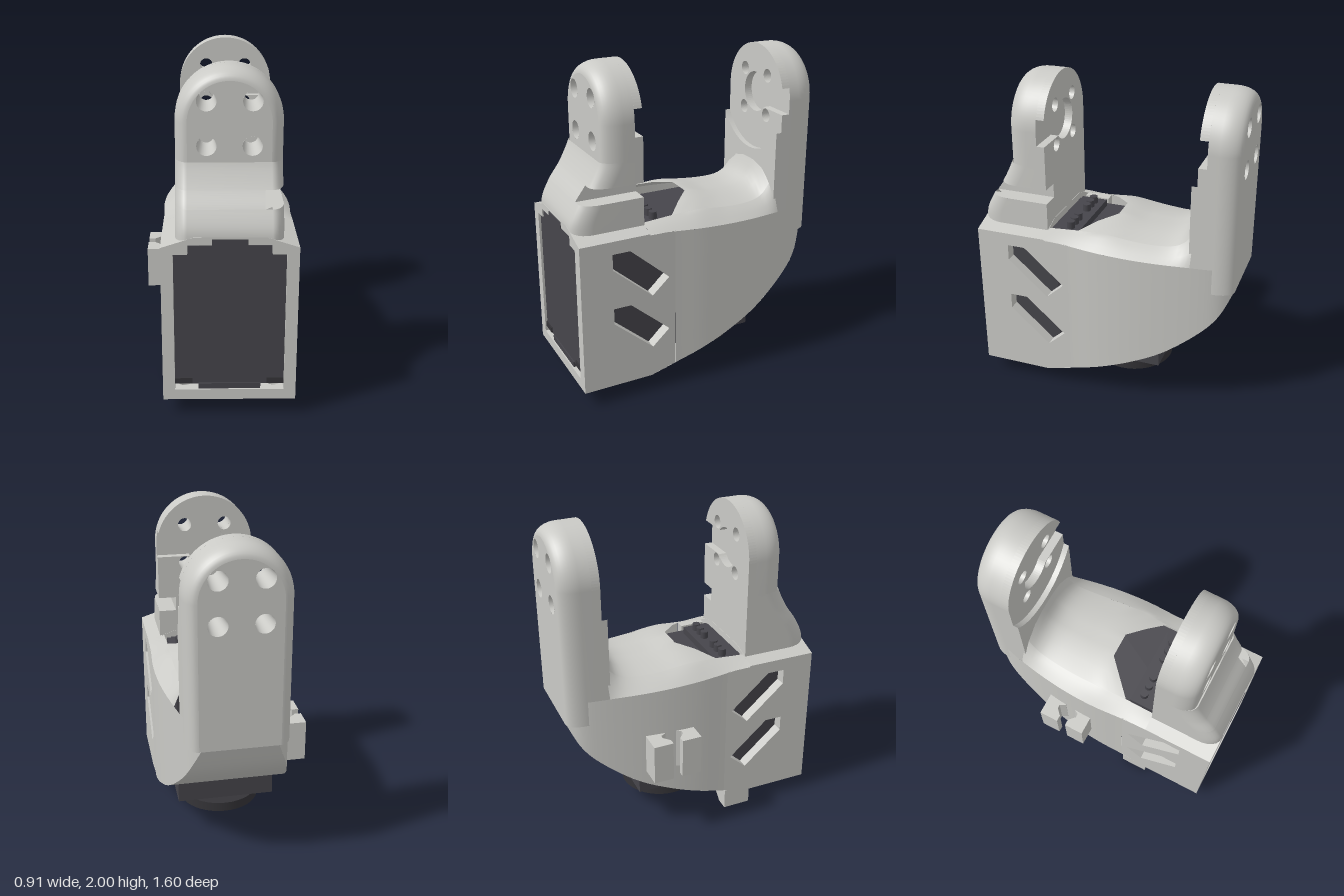
import * as THREE from 'three';

const shellMat = new THREE.MeshStandardMaterial({ color: 0xcacac6, side: THREE.DoubleSide });
shellMat.name = 'light grey plastic';
const servoMat = new THREE.MeshStandardMaterial({ color: 0x46454b });
servoMat.name = 'charcoal';
const hornMat = new THREE.MeshStandardMaterial({ color: 0x353438 });
hornMat.name = 'dark charcoal';

const V = (x, y) => new THREE.Vector2(x, y);
const poly = pts => new THREE.Shape(pts.map(p => V(p[0], p[1])));
const extrude = (shape, depth) => new THREE.ExtrudeGeometry(shape, { depth, bevelEnabled: false, curveSegments: 24 });

// smooth function through (a, value) pairs, a monotonic
function curve(pairs) {
  const p = new THREE.SplineCurve(pairs.map(q => V(q[0], q[1]))).getPoints(100);
  if (p[0].x > p[100].x) p.reverse();
  return a => {
    if (a <= p[0].x) return p[0].y;
    for (let i = 1; i <= 100; i++) {
      if (a <= p[i].x) return THREE.MathUtils.mapLinear(a, p[i - 1].x, p[i].x, p[i - 1].y, p[i].y);
    }
    return p[100].y;
  };
}

// surface grid from f(i, j) -> [x, y, z]
function skin(nu, nv, f) {
  const pos = [], idx = [], n = nv + 1;
  for (let i = 0; i <= nu; i++) for (let j = 0; j <= nv; j++) pos.push(...f(i, j));
  for (let i = 0; i < nu; i++) for (let j = 0; j < nv; j++) {
    const a = i * n + j;
    idx.push(a, a + n, a + 1, a + 1, a + n, a + n + 1);
  }
  const g = new THREE.BufferGeometry();
  g.setAttribute('position', new THREE.Float32BufferAttribute(pos, 3));
  g.setIndex(idx);
  g.computeVertexNormals();
  return g;
}

function add(parent, name, geo, mat, x = 0, y = 0, z = 0) {
  const m = new THREE.Mesh(geo, mat);
  m.name = name;
  m.position.set(x, y, z);
  parent.add(m);
  return m;
}
const box = (parent, name, mat, x0, x1, y0, y1, z0, z1) =>
  add(parent, name, new THREE.BoxGeometry(x1 - x0, y1 - y0, z1 - z0), mat, (x0 + x1) / 2, (y0 + y1) / 2, (z0 + z1) / 2);

// shared arm dimensions: half width, round centre, thickness, edge rounding
const H = 0.305, CY = 1.695, T = 0.236, RX = 0.07, RZ = 0.12, LAYER = 0.05;
const HOLES = [[-1, -1], [1, -1], [-1, 1], [1, 1]].map(([a, b]) => [a * 0.1275, CY + b * 0.125]);

function outline(d, y0) {
  const r = H - d, pts = [V(r, y0)];
  for (let k = 0; k <= 32; k++) pts.push(V(r * Math.cos(k * Math.PI / 32), CY + r * Math.sin(k * Math.PI / 32)));
  pts.push(V(-r, y0));
  return pts;
}
function drill(shape, r) {
  for (const [x, y] of HOLES) shape.holes.push(new THREE.Path().absarc(x, y, r, 0, Math.PI * 2, true));
  return shape;
}

// arm with inner face at z = 0 and rounded outer face at z = T
function makeArm(name, innerY, outerY, notch) {
  const g = new THREE.Group();
  g.name = name;
  // inner layer with a keyhole recess opening to +x
  const s = new THREE.Shape();
  s.moveTo(-H, innerY).lineTo(H, innerY);
  if (notch) s.lineTo(H, 1.25).lineTo(0.195, 1.25).lineTo(0.195, 1.34).lineTo(H, 1.34);
  const a = Math.asin(0.08 / 0.125), b = Math.asin(0.08 / H);
  s.lineTo(H, CY - 0.08);
  s.absarc(0, CY, 0.125, -a, a, true);
  s.absarc(0, CY, H, b, Math.PI, false);
  s.lineTo(-H, innerY);
  add(g, 'innerFace', extrude(drill(s, 0.042), LAYER), shellMat);
  add(g, 'recessFloor', new THREE.ShapeGeometry(drill(new THREE.Shape(outline(0, outerY)), 0.043), 24), shellMat, 0, 0, LAYER);
  // rounded rim and outer face
  const rings = [[0, LAYER]];
  for (let k = 0; k <= 8; k++) {
    const t = k * Math.PI / 16;
    rings.push([RX * (1 - Math.cos(t)), T - RZ * (1 - Math.sin(t))]);
  }
  const lines = rings.map(r => outline(r[0], outerY));
  add(g, 'roundedRim', skin(lines[0].length - 1, rings.length - 1, (i, j) => [lines[j][i].x, lines[j][i].y, rings[j][1]]), shellMat);
  add(g, 'outerFace', new THREE.ShapeGeometry(drill(new THREE.Shape(outline(RX, outerY)), 0.056), 24), shellMat, 0, 0, T);
  for (const [x, y] of HOLES) {
    const c = new THREE.CylinderGeometry(0.056, 0.042, T - LAYER, 24, 1, true).rotateX(Math.PI / 2);
    add(g, 'screwHole', c, shellMat, x, y, (T + LAYER) / 2);
  }
  return g;
}

// body rules along z
const halfWidth = curve([[0.36, 0.385], [0.2, 0.387], [0, 0.397], [-0.2, 0.39], [-0.4, 0.365], [-0.6, 0.325], [-0.72, 0.285], [-0.8, 0.22]]);
const bottomY = curve([[0.36, 0.1], [0.2, 0.145], [0, 0.21], [-0.2, 0.29], [-0.4, 0.39], [-0.6, 0.54], [-0.72, 0.67], [-0.8, 0.84]]);
const edgeY = curve([[0.36, 1.05], [0.1, 1.03], [-0.3, 1.01], [-0.55, 1.0], [-0.8, 0.98]]);
const crestY = curve([[0.36, 1.1], [0.1, 1.14], [-0.02, 1.15], [-0.2, 1.12], [-0.38, 1.12], [-0.48, 1.17], [-0.545, 1.3]]);

function makeBody() {
  const g = new THREE.Group();
  g.name = 'housing';
  // flat side walls with two slanted slots each
  for (const x of [0.385, -0.315]) {
    const s = poly([[0.8, 0.1], [0.8, 1.05], [0.2, 1.04], [0.2, 0.145], [0.36, 0.1]]);
    for (const d of [0, -0.35]) {
      s.holes.push(poly([[0.6, 0.97 + d], [0.49, 0.97 + d], [0.24, 0.75 + d], [0.35, 0.65 + d], [0.6, 0.87 + d]]));
    }
    add(g, 'sideWall', extrude(s, 0.07).rotateY(-Math.PI / 2), shellMat, x);
  }
  // roof and floor of the front opening
  const half = [[0.235, 1.065], [0.235, 1.01], [0.385, 1.01], [0.385, 1.05], [0.2, 1.11]];
  const roof = poly([...half, ...half.map(p => [-p[0], p[1]]).reverse()]);
  add(g, 'roof', extrude(roof, 0.44), shellMat, 0, 0, 0.36);
  const floor = poly([[-0.385, -0.8], [0.385, -0.8], [0.385, -0.36], [-0.385, -0.36]]);
  for (const x of [-0.26, 0.26]) floor.holes.push(new THREE.Path().absarc(x, -0.71, 0.042, 0, Math.PI * 2, true));
  add(g, 'floor', extrude(floor, 0.065).rotateX(-Math.PI / 2), shellMat, 0, 0.1);
  // tapering sides
  for (const m of [-1, 1]) {
    add(g, 'taperedSide', skin(40, 8, (i, j) => {
      const z = 0.2 - Math.sin(i / 40 * Math.PI / 2);
      return [m * halfWidth(z), THREE.MathUtils.lerp(bottomY(z), edgeY(z), j / 8), z];
    }), shellMat);
  }
  // arched top with the connector cut-out
  const us = [-1, -0.9, -0.8, -0.725, -0.72, -0.46, -0.2, -0.1, 0, 0.1, 0.2, 0.46, 0.72, 0.725, 0.8, 0.9, 1];
  add(g, 'archedTop', skin(us.length - 1, 30, (i, j) => {
    const s = us[i], a = Math.abs(s);
    const front = a > 0.722 ? 0.36 : THREE.MathUtils.mapLinear(Math.max(a, 0.2), 0.2, 0.72, -0.02, 0.17);
    const z = THREE.MathUtils.lerp(front, -0.545, j / 30);
    return [s * halfWidth(z), edgeY(z) + (crestY(z) - edgeY(z)) * (1 - a ** 3), z];
  }), shellMat);
  // curved underside, open around the servo horn
  const bs = [-1, -0.9, -0.81];
  for (let k = -10; k <= 10; k++) bs.push(0.8 * Math.sin(k * Math.PI / 20));
  bs.push(0.81, 0.9, 1);
  add(g, 'undersideFront', skin(bs.length - 1, 16, (i, j) => {
    const x = bs[i] * 0.385;
    const rim = Math.abs(bs[i]) > 0.805 ? -0.4 : -0.1 + Math.sqrt(Math.max(0, 0.308 ** 2 - x * x));
    const z = THREE.MathUtils.lerp(0.36, rim, j / 16);
    return [bs[i] * halfWidth(z), bottomY(z), z];
  }), shellMat);
  add(g, 'undersideBack', skin(12, 24, (i, j) => {
    const z = -0.4 - 0.4 * Math.sin(j / 24 * Math.PI / 2);
    return [(i / 6 - 1) * halfWidth(z), bottomY(z), z];
  }), shellMat);
  // cable clip: two mirrored hooks
  for (const m of [-1, 1]) {
    const hook = [[-0.37, 0.155], [-0.515, 0.155], [-0.515, 0.03], [-0.475, 0.03], [-0.435, 0.068], [-0.41, 0.068], [-0.39, 0.03], [-0.37, 0.03]];
    add(g, 'cableClip', extrude(poly(hook.map(p => [p[0], p[1] * m])), 0.26).rotateX(-Math.PI / 2), shellMat, 0, 0.45, -0.185);
  }
  // stop tab under the floor
  add(g, 'stopTab', extrude(poly([[-0.385, 0], [-0.305, 0], [-0.2, 0.1], [-0.2, 0.14], [-0.385, 0.14]]), 0.18), shellMat, 0, 0, 0.21);
  return g;
}

// flared foot of the front arm, with a side notch
function makeFoot() {
  const g = new THREE.Group();
  g.name = 'flaredFoot';
  const faceZ = curve([[1.08, 0.8], [1.15, 0.79], [1.25, 0.74], [1.35, 0.67], [1.47, 0.61], [1.54, 0.598]]);
  const sec = [[-H, null]];
  for (let k = 0; k <= 6; k++) sec.push([-H + RX * (1 - Math.cos(k * Math.PI / 12)), 1 - Math.sin(k * Math.PI / 12)]);
  sec.push(...sec.map(p => [-p[0], p[1]]).reverse());
  for (const [y0, y1, limit] of [[1.07, 1.25, H], [1.25, 1.34, 0.195], [1.34, 1.48, H]]) {
    add(g, 'footSkin', skin(sec.length - 1, 8, (i, j) => {
      const y = y0 + (y1 - y0) * j / 8, [x, k] = sec[i];
      return [Math.min(x, limit), y, k === null ? 0.362 : faceZ(y) - RZ * (x > limit ? 0 : k)];
    }), shellMat);
  }
  for (const y of [1.25, 1.34]) {
    add(g, 'notchWall', skin(7, 1, (i, j) => {
      const x = i === 0 ? 0.195 : sec[sec.length - 1 - i][0];
      const k = i === 0 ? 0 : sec[sec.length - 1 - i][1];
      return [x, y, j ? faceZ(y) - RZ * k : 0.362];
    }), shellMat);
  }
  return g;
}

function makeServo() {
  const g = new THREE.Group();
  g.name = 'servo';
  box(g, 'servoCase', servoMat, -0.3, 0.3, 0.24, 1.015, -0.36, 0.7);
  box(g, 'servoCover', servoMat, -0.317, 0.317, 0.195, 1.012, 0.3, 0.785);
  box(g, 'coverTopTab', servoMat, -0.232, 0.232, 1.0, 1.06, 0.36, 0.792);
  box(g, 'coverBottomTab', servoMat, -0.18, 0.18, 0.166, 0.2, 0.5, 0.792);
  box(g, 'cableLatch', servoMat, -0.1, 0.1, 1.06, 1.1, 0.78, 0.804);
  for (const m of [-1, 1]) box(g, 'coverFoot', hornMat, m * 0.265 - 0.05, m * 0.265 + 0.05, 0.2, 0.235, 0.75, 0.793);
  // connector block and pins in the top cut-out
  box(g, 'connector', servoMat, -0.26, 0.26, 1.0, 1.06, 0.19, 0.38);
  for (const m of [-1, 1]) for (const x of [0.07, 0.132, 0.194]) {
    add(g, 'connectorPin', new THREE.CylinderGeometry(0.025, 0.025, 0.05, 16), servoMat, m * x, 1.08, 0.255);
  }
  // output horn
  const disc = (name, r, y0, y1, mat, x = 0, z = 0) =>
    add(g, name, new THREE.CylinderGeometry(r, r, y1 - y0, 40), mat, x, (y0 + y1) / 2, -0.1 + z);
  disc('outputBoss', 0.16, 0.185, 0.25, hornMat);
  disc('horn', 0.255, 0.13, 0.19, hornMat);
  disc('hornHub', 0.065, 0.09, 0.14, hornMat);
  disc('hubScrew', 0.035, 0.087, 0.1, servoMat);
  for (const [x, z] of [[1, 0], [-1, 0], [0, 1], [0, -1]]) disc('hornHole', 0.025, 0.127, 0.135, servoMat, x * 0.16, z * 0.16);
  return g;
}

export function createModel() {
  const model = new THREE.Group();
  model.name = 'servoBracket';
  const body = new THREE.Group();
  body.name = 'bracket';
  body.position.x = 0.055;
  const front = makeArm('frontArm', 1.08, 1.47, true);
  front.position.z = 0.362;
  const rear = makeArm('rearArm', 0.9, 0.83, false);
  rear.position.z = -0.564;
  rear.scale.z = -1;
  // thicker lower face of the rear arm, ending in a concave arc
  const step = new THREE.Shape();
  const a = Math.acos(H / 0.36);
  step.moveTo(-H, 0.95).lineTo(H, 0.95);
  step.absarc(0, CY, 0.36, -a, -Math.PI + a, true);
  step.lineTo(-H, 0.95);
  add(body, 'rearArmStep', extrude(step, 0.036), shellMat, 0, 0, -0.566);
  body.add(front, rear, makeFoot(), makeBody(), makeServo());
  model.add(body);
  return model;
}
